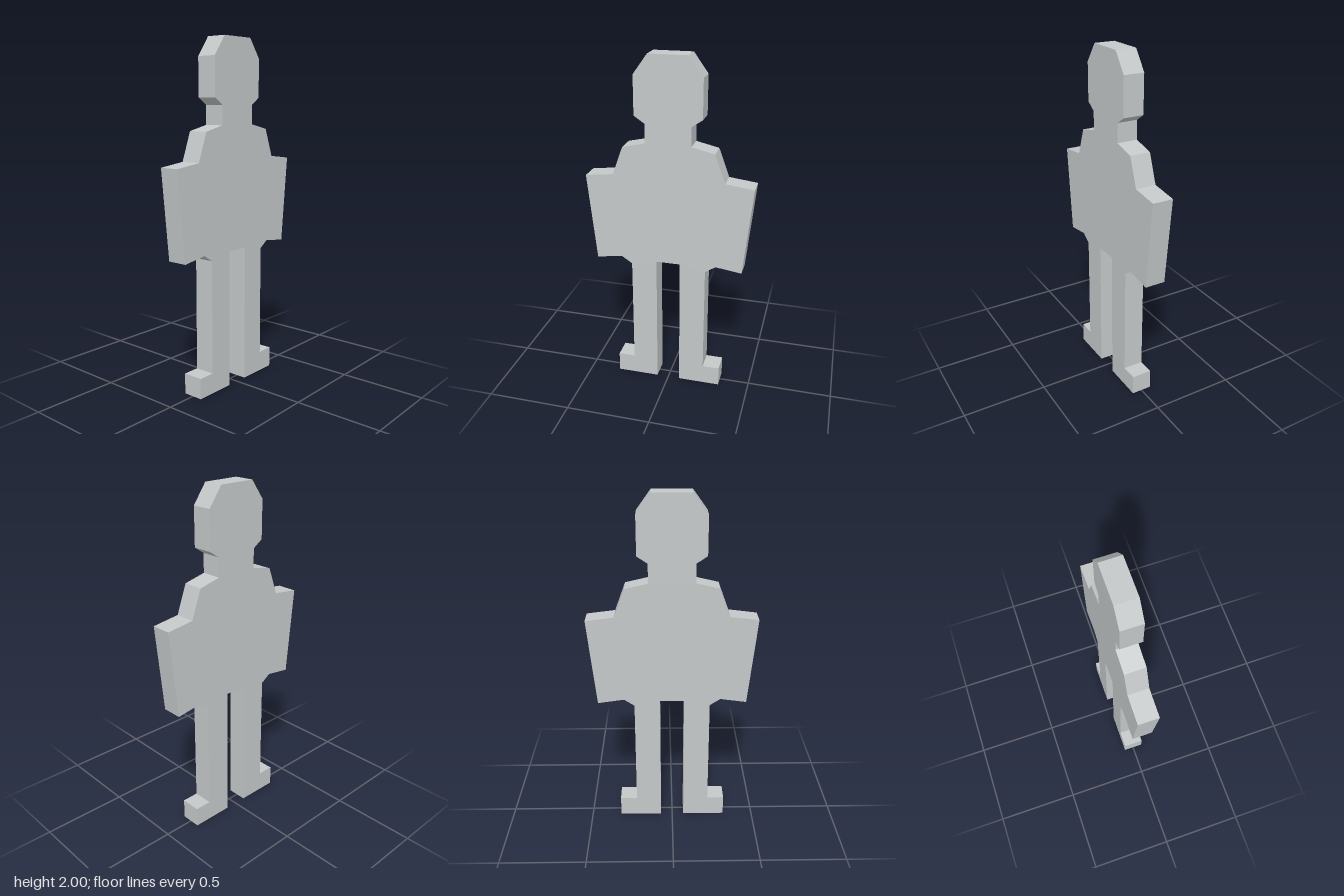
import * as THREE from 'three';

const DEPTH = 0.12;

// Left half of the outline, from crown to crotch
const HALF = [
  [0.11, 2], [0.19, 1.89], [0.19, 1.67], [0.13, 1.63], [0.13, 1.52], // head and neck
  [0.26, 1.49], [0.32, 1.327], [0.482, 1.307], [0.432, 0.796], [0.28, 0.817], // shoulder and arm
  [0.22, 0.777], [0.22, 0.12], [0.32, 0.12], [0.32, 0], [0.07, 0], [0.07, 0.807], // leg and foot
];

export function createModel() {
  const group = new THREE.Group();
  group.name = 'figureCutout';

  const lightGrey = new THREE.MeshStandardMaterial({ color: 0xc4c8c8 });
  lightGrey.name = 'lightGrey';

  // Mirror the half outline and extrude it as one flat plate
  const mirrored = HALF.map(([x, y]) => [-x, y]).reverse();
  const outline = [...HALF, ...mirrored].map(([x, y]) => new THREE.Vector2(x, y));
  const geometry = new THREE.ExtrudeGeometry(new THREE.Shape(outline), {
    depth: DEPTH,
    bevelEnabled: false,
  });
  geometry.translate(0, 0, -DEPTH / 2);

  const body = new THREE.Mesh(geometry, lightGrey);
  body.name = 'bodySilhouette';
  group.add(body);
  return group;
}
